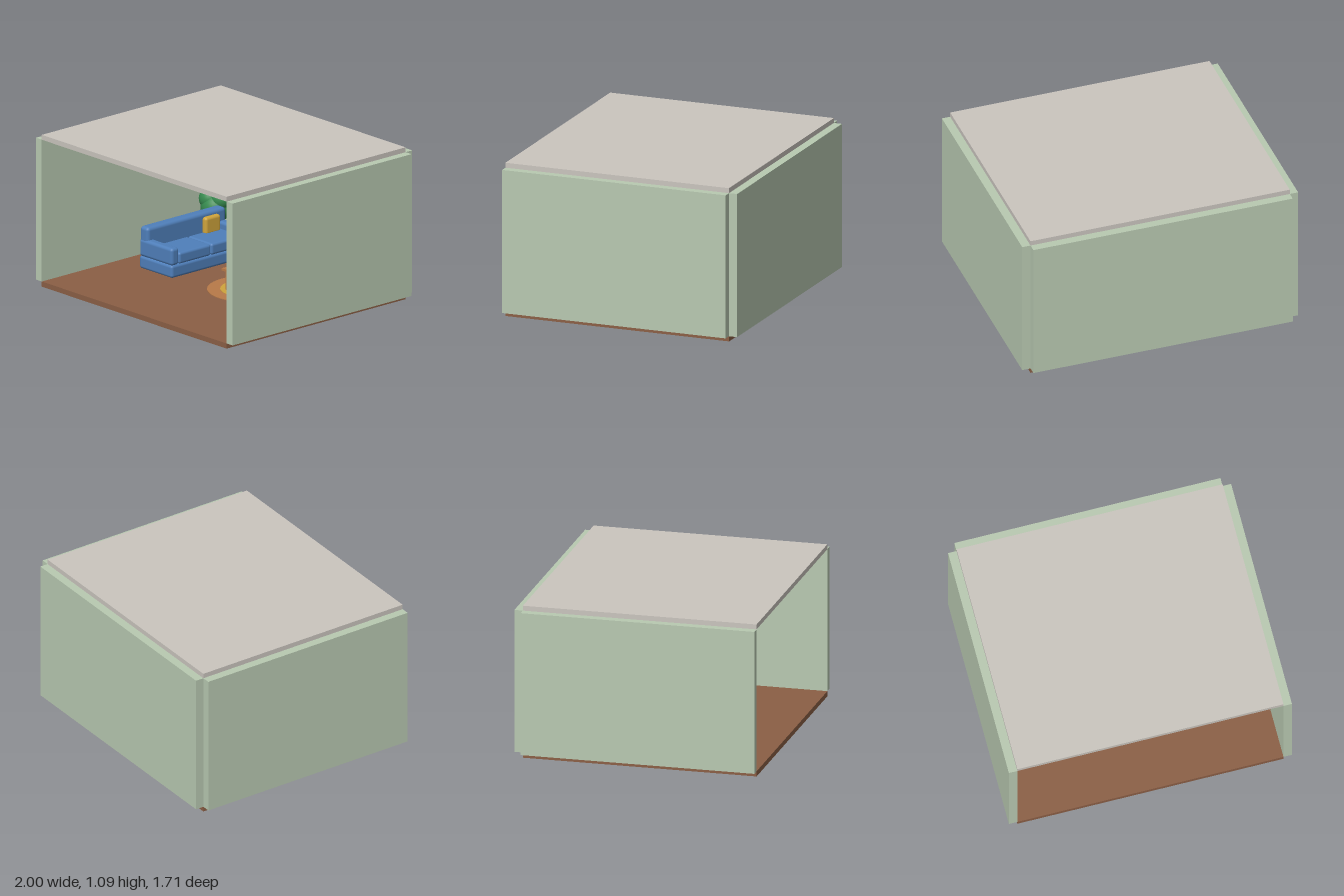
import * as THREE from 'three';
import { RoundedBoxGeometry } from 'three/addons/geometries/RoundedBoxGeometry.js';

const mat = (name, color) => {
  const m = new THREE.MeshStandardMaterial({ color });
  m.name = name;
  return m;
};

export function createModel() {
  const wall = mat('sage wall', 0xb8c9b1);
  const pale = mat('pale grey', 0xcac5be);
  const floorBrown = mat('floor brown', 0x8b5f45);
  const blue = mat('upholstery blue', 0x4f7fba);
  const glass = mat('window glass', 0x87b3cb);
  const leaf = mat('leaf green', 0x368a4e);
  const wood = mat('warm wood', 0xb87a48);
  const yellow = mat('mustard yellow', 0xcfa43c);
  const dark = mat('near black', 0x222222);

  const room = new THREE.Group();
  room.name = 'livingRoom';

  const group = (name) => {
    const g = new THREE.Group();
    g.name = name;
    room.add(g);
    return g;
  };
  const add = (parent, name, geometry, material, x, y, z) => {
    const m = new THREE.Mesh(geometry, material);
    m.name = name;
    m.position.set(x, y, z);
    parent.add(m);
    return m;
  };
  // Box given by its extents; r > 0 rounds the edges
  const box = (parent, name, material, [x0, x1], [y0, y1], [z0, z1], r = 0) => {
    const s = [x1 - x0, y1 - y0, z1 - z0];
    const geo = r ? new RoundedBoxGeometry(...s, 3, r) : new THREE.BoxGeometry(...s);
    return add(parent, name, geo, material, (x0 + x1) / 2, (y0 + y1) / 2, (z0 + z1) / 2);
  };
  // Upright cylinder standing on y0
  const cyl = (parent, name, material, rTop, rBottom, y0, y1, x, z, sides = 32) =>
    add(parent, name, new THREE.CylinderGeometry(rTop, rBottom, y1 - y0, sides), material, x, (y0 + y1) / 2, z);

  // Room shell, open at the front
  const FLOOR = 0.037, TOP = 1.055, depth = [-0.797, 0.857];
  const shell = group('shell');
  box(shell, 'floor', floorBrown, [-0.94, 0.94], [0, FLOOR], depth);
  box(shell, 'ceiling', pale, [-0.94, 0.94], [TOP, 1.09], depth);
  box(shell, 'backWall', wall, [-0.94, 0.94], [FLOOR, TOP], [-0.857, -0.797]);
  box(shell, 'leftWall', wall, [0.94, 1], [FLOOR, TOP], depth);
  box(shell, 'rightWall', wall, [-1, -0.94], [FLOOR, TOP], depth);

  // Window on the back wall
  const win = group('window');
  box(win, 'pane', glass, [0.203, 0.69], [0.415, 0.832], [-0.797, -0.79]);
  box(win, 'verticalBar', pale, [0.439, 0.455], [0.402, 0.85], [-0.797, -0.777]);
  box(win, 'horizontalBar', pale, [0.185, 0.71], [0.615, 0.631], [-0.797, -0.777]);

  // Bookshelf on the back wall
  const shelf = group('bookshelf');
  const shelfZ = [-0.797, -0.69];
  for (const x of [-0.515, -0.177]) box(shelf, 'sidePanel', wood, [x, x + 0.012], [0.508, 0.786], shelfZ);
  for (const y of [0.515, 0.643, 0.774]) box(shelf, 'board', wood, [-0.503, -0.177], [y, y + 0.012], shelfZ);
  const bookColours = [blue, yellow, wood, blue, yellow, blue, wood];
  [0.527, 0.655].forEach((y, row) => {
    for (let i = 0; i < 18; i++) {
      const x = -0.492 + i * 0.0163;
      const h = 0.088 + 0.014 * Math.sin(i * 2.1 + row * 1.7);
      box(shelf, 'book', bookColours[(i * 3 + row * 2 + (i >> 2)) % 7], [x, x + 0.0145], [y, y + h], [-0.785, -0.71]);
    }
  });

  // Sofa facing +x
  const sofa = group('sofa');
  const sx = [-0.62, -0.285];
  box(sofa, 'base', blue, sx, [0.08, 0.172], [-0.485, 0.25], 0.02);
  box(sofa, 'backrest', blue, [-0.62, -0.535], [0.16, 0.383], [-0.48, 0.245], 0.025);
  for (const z of [-0.485, 0.18]) box(sofa, 'arm', blue, sx, [0.168, 0.293], [z, z + 0.07], 0.022);
  for (const z of [-0.413, -0.115]) box(sofa, 'seatCushion', blue, [-0.535, -0.287], [0.168, 0.25], [z, z + 0.293], 0.018);
  box(sofa, 'pillow', yellow, [-0.535, -0.487], [0.235, 0.36], [-0.39, -0.25], 0.02);

  // Round rug with a lighter centre
  const rug = group('rug');
  cyl(rug, 'rugBorder', wood, 0.3, 0.3, FLOOR, 0.042, 0.15, -0.085, 64);
  cyl(rug, 'rugCentre', yellow, 0.21, 0.21, 0.042, 0.044, 0.15, -0.085, 64);

  // Coffee table and cup
  const table = group('coffeeTable');
  box(table, 'tableTop', wood, [0.035, 0.257], [0.18, 0.197], [-0.265, 0.08]);
  for (const x of [0.057, 0.242])
    for (const z of [-0.24, 0.055]) cyl(table, 'tableLeg', wood, 0.009, 0.009, FLOOR, 0.18, x, z, 16);
  cyl(table, 'cup', pale, 0.018, 0.016, 0.197, 0.235, 0.128, -0.19, 24);

  // Potted plant in the back corner
  const plant = group('plant');
  cyl(plant, 'pot', wood, 0.07, 0.062, FLOOR, 0.19, -0.795, -0.62);
  for (const [x, y, z, r] of [[-0.795, 0.29, -0.62, 0.106], [-0.832, 0.347, -0.6, 0.078], [-0.75, 0.357, -0.63, 0.076]])
    add(plant, 'foliage', new THREE.SphereGeometry(r, 32, 20), leaf, x, y, z);

  // Television on its cabinet against the left wall, facing -x
  const tv = group('television');
  box(tv, 'cabinet', wood, [0.76, 0.925], [FLOOR, 0.23], [-0.42, 0.2], 0.012);
  box(tv, 'stand', dark, [0.822, 0.9], [0.23, 0.252], [-0.21, -0.01]);
  box(tv, 'screen', dark, [0.85, 0.876], [0.25, 0.52], [-0.35, 0.13], 0.006);

  // Small lamp behind the cabinet
  const lamp = group('lamp');
  cyl(lamp, 'lampBase', dark, 0.042, 0.042, FLOOR, 0.048, 0.755, -0.57);
  cyl(lamp, 'lampPole', blue, 0.01, 0.01, 0.048, 0.187, 0.755, -0.57, 16);
  cyl(lamp, 'lampShade', yellow, 0.042, 0.044, 0.187, 0.236, 0.755, -0.57);

  return room;
}
